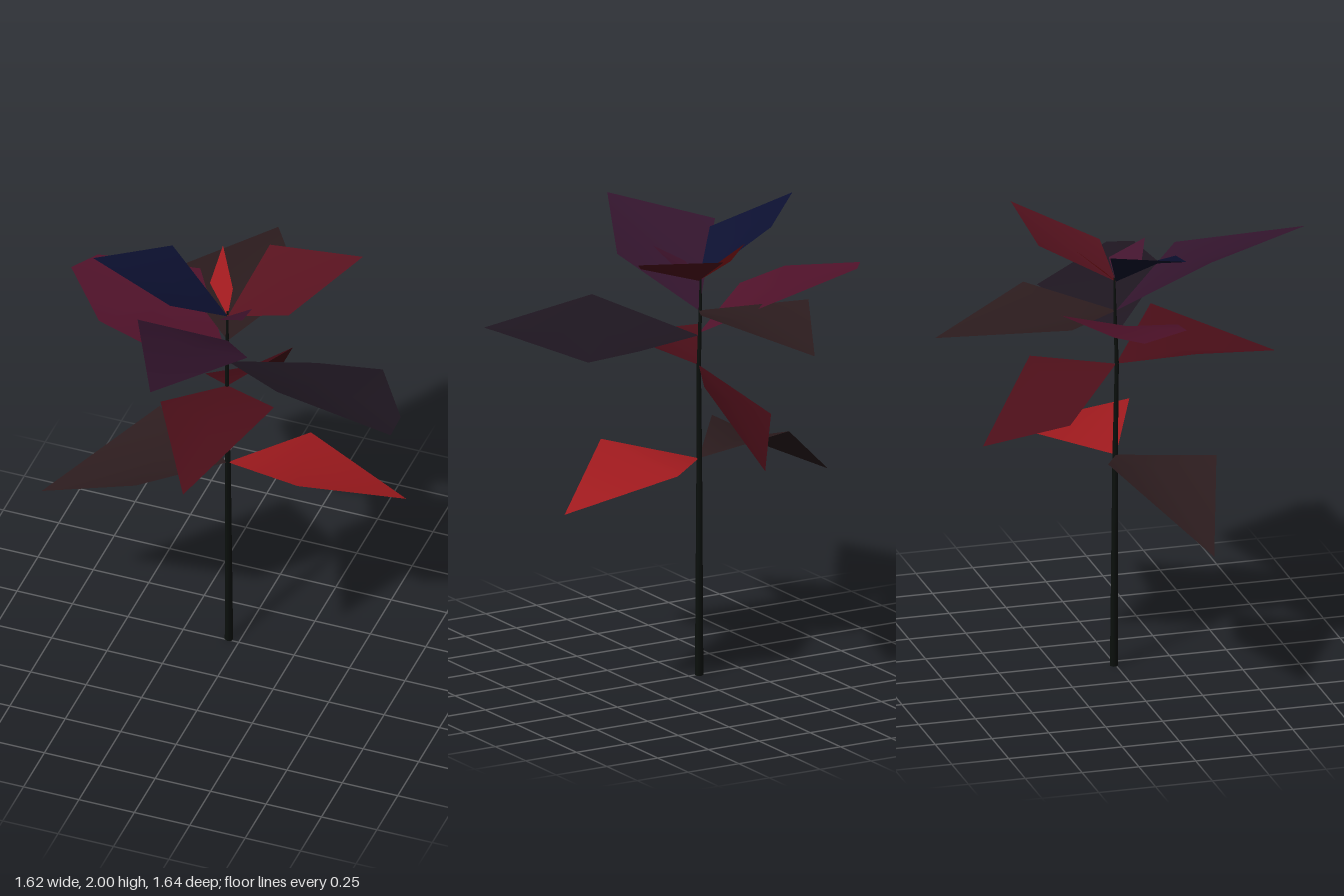
import * as THREE from 'three';

// A creased leaf: outline runs counter-clockwise seen from above, starting at the stem;
// the rib point in the middle forms the fold.
function leaf(name, color, outline, rib) {
  const mid = rib ?? [0, 1, 2].map(k => outline.reduce((s, p) => s + p[k], 0) / outline.length);
  const index = [];
  const n = outline.length;
  for (let i = 0; i < n; i++) index.push(0, 1 + i, 1 + (i + 1) % n);
  const geo = new THREE.BufferGeometry();
  geo.setAttribute('position', new THREE.Float32BufferAttribute([mid, ...outline].flat(), 3));
  geo.setIndex(index);
  geo.computeVertexNormals();
  const mesh = new THREE.Mesh(geo, new THREE.MeshStandardMaterial({ color, side: THREE.DoubleSide }));
  mesh.name = name;
  return mesh;
}

// Tapered six-sided stem following a few slightly offset rings
function stem() {
  const rings = [[-0.047, 0, -0.008, 0.018], [-0.05, 0.95, -0.004, 0.012],
    [-0.052, 1.36, 0.003, 0.009], [-0.054, 1.6, -0.006, 0.007], [-0.054, 1.75, -0.008, 0.004]];
  const geo = new THREE.CylinderGeometry(1, 1, 1, 6, rings.length - 1);
  const pos = geo.attributes.position;
  for (let i = 0; i < pos.count; i++) {
    const [x, y, z, r] = rings[Math.round((pos.getY(i) + 0.5) * (rings.length - 1))];
    pos.setXYZ(i, x + pos.getX(i) * r, y, z + pos.getZ(i) * r);
  }
  geo.computeVertexNormals();
  const mesh = new THREE.Mesh(geo, new THREE.MeshStandardMaterial({ color: 0x0b100d }));
  mesh.name = 'stem';
  return mesh;
}

export function createModel() {
  const group = new THREE.Group();
  group.name = 'plant';
  const brown = 0x2c1c1e, red = 0xa01a1e, wine = 0x4a0e18, plum = 0x32142c;
  const at = y => [-0.05, y, 0];

  group.add(
    stem(),
    // lowest pair
    leaf('lowRightLeaf', brown,
      [at(0.95), [-0.41, 1.05, -0.14], [-0.81, 0.74, 0.21], [-0.33, 1.01, 0.36]], [-0.32, 0.98, 0.09]),
    leaf('lowLeftLeaf', red,
      [at(0.95), [0.33, 1.05, 0.17], [0.7, 0.85, -0.15], [0.22, 0.98, -0.28]], [0.27, 1.0, -0.05]),
    // second pair
    leaf('lowerFrontLeaf', wine,
      [at(1.36), [-0.24, 1.44, 0.3], [0.02, 1.32, 0.72], [0.25, 1.5, 0.24]], [-0.01, 1.38, 0.27]),
    leaf('lowerBackLeaf', wine,
      [at(1.36), [0.12, 1.37, -0.33], [-0.03, 1.04, -0.58], [-0.25, 1.18, -0.26]], [-0.05, 1.26, -0.28]),
    // broad blunt pair
    leaf('broadLeftLeaf', 0x1e1620,
      [at(1.49), [0.29, 1.645, 0.31], [0.81, 1.57, 0.33], [0.81, 1.58, 0.21],
        [0.59, 1.505, -0.16], [0.31, 1.5, -0.11]], [0.4, 1.55, 0.08]),
    leaf('broadRightLeaf', 0x50122a,
      [at(1.5), [-0.29, 1.695, -0.31], [-0.71, 1.735, -0.2], [-0.79, 1.725, -0.09],
        [-0.57, 1.68, 0.16], [-0.36, 1.63, 0.18]], [-0.4, 1.66, -0.05]),
    // upper pair
    leaf('upperBackLeaf', brown,
      [at(1.6), [0.15, 1.695, -0.35], [-0.13, 1.59, -0.82], [-0.41, 1.67, -0.3]], [-0.12, 1.62, -0.31]),
    leaf('upperFrontLeaf', plum,
      [at(1.6), [-0.33, 1.88, 0.335], [-0.09, 1.91, 0.82], [0.16, 1.8, 0.32]], [-0.08, 1.8, 0.34]),
    // crown
    leaf('crownRightLeaf', 0x0c1030,
      [at(1.73), [-0.34, 1.95, -0.11], [-0.6, 2.0, 0.15], [-0.23, 1.89, 0.21]], [-0.29, 1.89, 0.05]),
    leaf('crownLeftLeaf', 0x56121e,
      [at(1.73), [0.23, 1.82, 0.01], [0.44, 1.95, -0.32], [0.02, 1.9, -0.32]], [0.14, 1.83, -0.15]),
    // young shoots
    leaf('redShoot', red,
      [at(1.73), [-0.06, 1.81, -0.09], [-0.15, 1.93, -0.21], [-0.16, 1.82, -0.08]]),
    leaf('plumShoot', 0x42142e,
      [at(1.73), [-0.05, 1.79, 0.11], [0.08, 1.865, 0.165], [0.06, 1.8, 0.0]])
  );
  return group;
}
